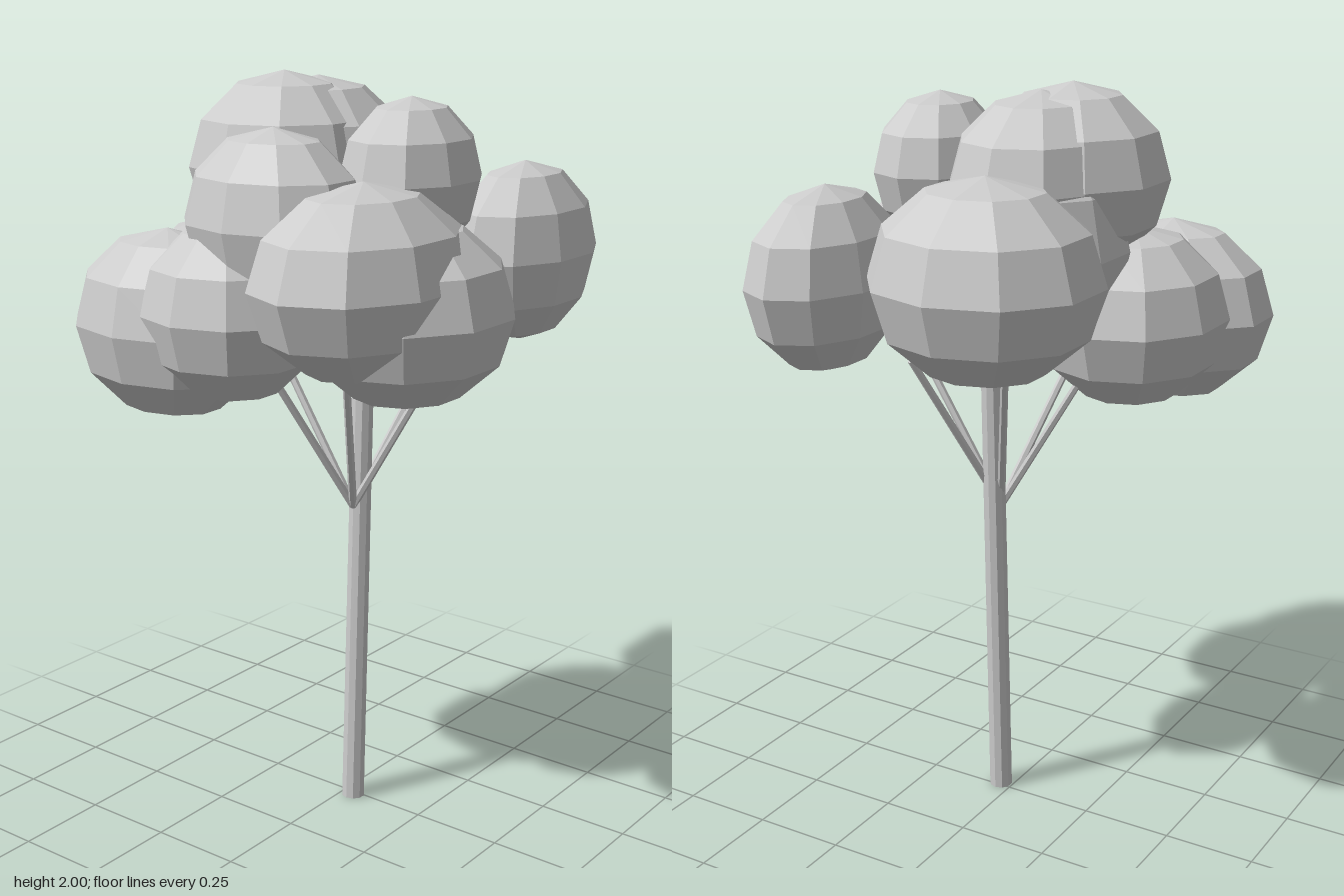
import * as THREE from 'three';

export function createModel() {
  const tree = new THREE.Group();
  tree.name = 'tree';
  const grey = new THREE.MeshStandardMaterial({ color: 0xcccccc, flatShading: true });
  grey.name = 'lightGrey';

  // Leaf clumps: centre x, y, z and radii x, y, z
  const clumps = [
    [-0.115, 1.565, -0.305, 0.30, 0.255, 0.28], // back
    [0.318, 1.53, -0.35, 0.172, 0.237, 0.26], // back left
    [-0.145, 1.765, 0.066, 0.25, 0.235, 0.252], // crown
    [-0.10, 1.76, -0.015, 0.225, 0.225, 0.27], // crown, rear
    [-0.10, 1.60, -0.06, 0.25, 0.30, 0.25], // core
    [0.232, 1.757, 0.042, 0.168, 0.198, 0.204], // upper left
    [0.014, 1.66, 0.305, 0.25, 0.23, 0.195], // upper front
    [0.268, 1.54, 0.285, 0.247, 0.24, 0.322], // front left
    [0.316, 1.455, 0.167, 0.26, 0.235, 0.29], // left
    [-0.295, 1.378, 0.352, 0.282, 0.245, 0.212], // front right
    [-0.09, 1.435, 0.35, 0.24, 0.23, 0.225], // front middle
    [-0.277, 1.40, 0.16, 0.25, 0.235, 0.272], // right
  ];

  // Ten-sided clumps
  const ball = new THREE.SphereGeometry(1, 10, 6, Math.PI / 2);
  clumps.forEach(([x, y, z, rx, ry, rz], i) => {
    const clump = new THREE.Mesh(ball, grey);
    clump.position.set(x, y, z);
    clump.scale.set(rx, ry, rz);
    clump.name = 'leafClump' + (i + 1);
    tree.add(clump);
  });

  // Tapered stick between two points
  function stick(name, from, to, r0, r1, sides) {
    const dir = to.clone().sub(from);
    const mesh = new THREE.Mesh(new THREE.CylinderGeometry(r1, r0, dir.length(), sides), grey);
    mesh.position.copy(from).addScaledVector(dir, 0.5);
    mesh.quaternion.setFromUnitVectors(new THREE.Vector3(0, 1, 0), dir.normalize());
    mesh.name = name;
    tree.add(mesh);
  }

  // Slightly leaning trunk
  stick('trunk', new THREE.Vector3(0.035, 0, 0.013), new THREE.Vector3(0.035, 1.3, -0.032), 0.032, 0.03, 10);

  // Ring of six thin branches fanning out from the fork
  const fork = new THREE.Vector3(0.033, 0.86, 0.012);
  for (let i = 0; i < 6; i++) {
    const a = (i * 60 - 3) * Math.PI / 180;
    const tip = new THREE.Vector3(Math.cos(a) * 0.27, 0.45, Math.sin(a) * 0.27).add(fork);
    stick('branch' + (i + 1), fork, tip, 0.011, 0.01, 6);
  }

  return tree;
}
